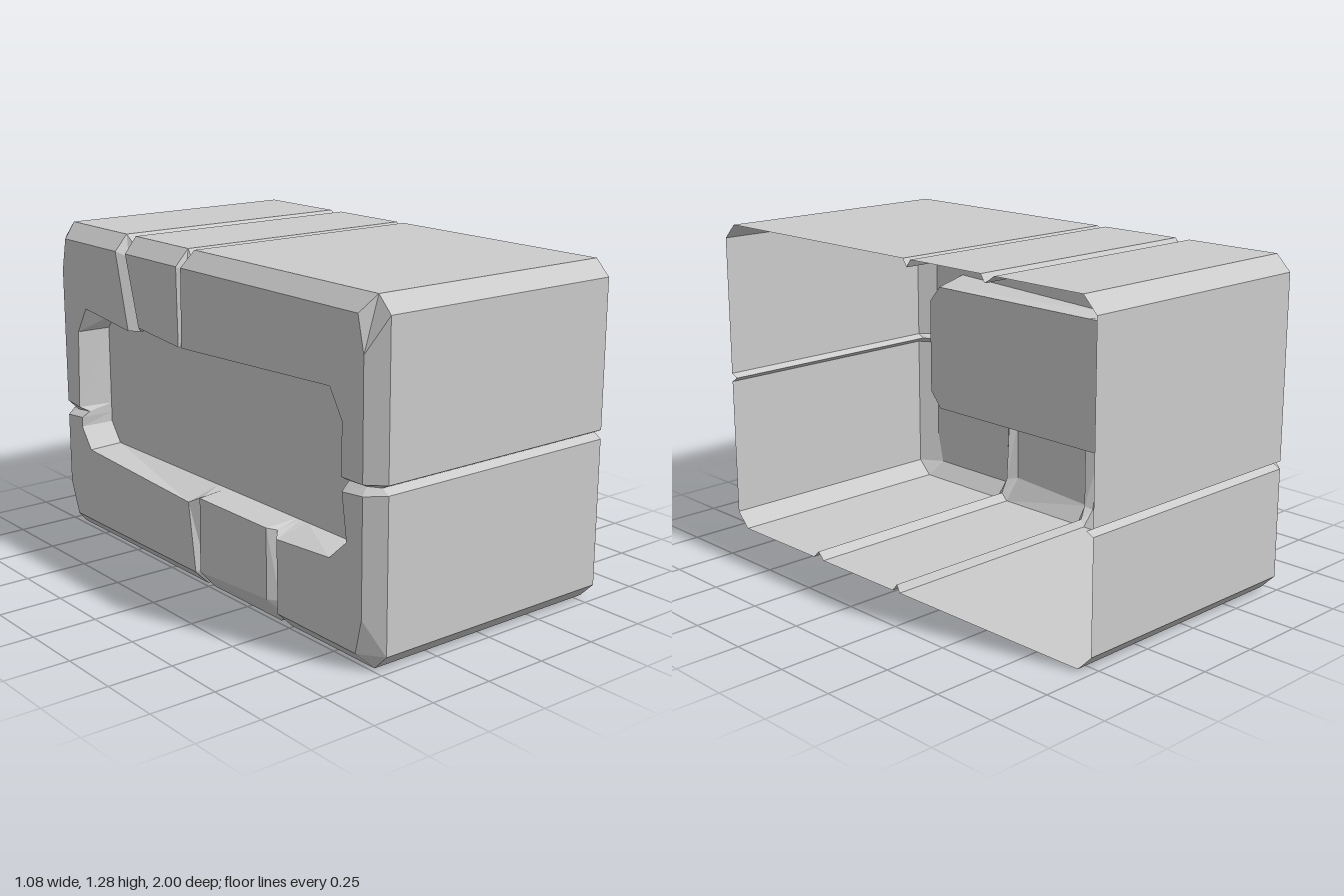
import * as THREE from 'three';

const OPEN_X = 0.54, FACE_X = -0.54, BEVEL_X = -0.48, PANEL_X = -0.4;
const PANEL = { z: 0.83, bottom: 0.37, top: 0.92 };

const material = new THREE.MeshStandardMaterial({
  color: 0xcccccc, flatShading: true, side: THREE.DoubleSide,
});

// One section through the shell, running from the open end over the bevel
// and across the face down to the recessed panel.
// Each pair is [z, y] on the outside, on the face rim and on the recess rim.
function section(outer, face, hole, faceX = FACE_X) {
  const foot = [
    THREE.MathUtils.clamp(hole[0], -PANEL.z, PANEL.z),
    THREE.MathUtils.clamp(hole[1], PANEL.bottom, PANEL.top),
  ];
  return [
    [OPEN_X, outer], [BEVEL_X, outer], [faceX, face], [faceX, hole], [PANEL_X, foot],
  ].map(([x, [z, y]]) => new THREE.Vector3(x, y, z));
}

// Bottom of a V groove between two blocks
const groove = (outer, face, hole) => section(outer, face, hole, FACE_X + 0.035);

// Skin neighbouring sections with quads
function loft(sections) {
  const pos = [];
  const add = (...points) => points.forEach((p) => pos.push(p.x, p.y, p.z));
  for (let j = 0; j < sections.length - 1; j++) {
    const p = sections[j], q = sections[j + 1];
    for (let i = 0; i < p.length - 1; i++) {
      add(p[i], q[i], p[i + 1]);
      add(q[i], q[i + 1], p[i + 1]);
    }
  }
  const geometry = new THREE.BufferGeometry();
  geometry.setAttribute('position', new THREE.Float32BufferAttribute(pos, 3));
  geometry.computeVertexNormals();
  return geometry;
}

export function createModel() {
  const group = new THREE.Group();
  group.name = 'stoneBlockShell';
  const add = (name, geometry) => {
    const mesh = new THREE.Mesh(geometry, material);
    mesh.name = name;
    group.add(mesh);
  };

  // Grooves, going from the front over the top and back round underneath
  const frontGroove = groove([0.97, 0.645], [0.92, 0.643], [0.83, 0.64]);
  const topGroove = groove([-0.1, 1.25], [-0.1, 1.2], [-0.1, 0.92]);
  const slantGroove = groove([-0.495, 1.25], [-0.49, 1.2], [-0.42, 0.92]);
  const backGroove = groove([-0.97, 0.5], [-0.92, 0.5], [-0.83, 0.51]);
  const underBackGroove = groove([-0.015, 0.03], [-0.01, 0.08], [-0.01, 0.36]);
  const underFrontGroove = groove([0.46, 0.03], [0.455, 0.09], [0.44, 0.355]);

  // Six chamfered blocks, each running from one groove to the next
  add('frontTopBlock', loft([
    frontGroove,
    section([1, 0.66], [0.94, 0.66], [0.83, 0.66]),
    section([1, 1.22], [0.94, 1.09], [0.835, 0.85]),
    section([0.94, 1.28], [0.91, 1.22], [0.77, 0.955]),
    section([-0.08, 1.28], [-0.085, 1.22], [-0.09, 0.92]),
    topGroove,
  ]));
  add('middleTopBlock', loft([
    topGroove,
    section([-0.12, 1.28], [-0.115, 1.22], [-0.11, 0.92]),
    section([-0.475, 1.28], [-0.46, 1.22], [-0.38, 0.945]),
    slantGroove,
  ]));
  add('backTopBlock', loft([
    slantGroove,
    section([-0.54, 1.28], [-0.53, 1.22], [-0.455, 0.92]),
    section([-0.94, 1.28], [-0.91, 1.22], [-0.77, 0.955]),
    section([-1, 1.22], [-0.94, 1.09], [-0.835, 0.85]),
    section([-1, 0.515], [-0.94, 0.54], [-0.85, 0.53]),
    backGroove,
  ]));
  add('backBottomBlock', loft([
    backGroove,
    section([-1, 0.485], [-0.94, 0.48], [-0.83, 0.49]),
    section([-1, 0.06], [-0.94, 0.19], [-0.835, 0.45]),
    section([-0.94, 0], [-0.89, 0.06], [-0.77, 0.365]),
    section([-0.03, 0], [-0.025, 0.06], [-0.065, 0.33]),
    underBackGroove,
  ]));
  add('middleBottomBlock', loft([
    underBackGroove,
    section([0.01, 0], [0.005, 0.07], [0.01, 0.365]),
    section([0.43, 0], [0.42, 0.095], [0.42, 0.365]),
    underFrontGroove,
  ]));
  add('frontBottomBlock', loft([
    underFrontGroove,
    section([0.49, 0], [0.485, 0.06], [0.48, 0.34]),
    section([0.94, 0], [0.91, 0.06], [0.77, 0.36]),
    section([1, 0.06], [0.94, 0.19], [0.86, 0.44]),
    section([1, 0.625], [0.94, 0.62], [0.835, 0.61]),
    frontGroove,
  ]));

  // Recessed panel with clipped corners
  const outline = [
    [0.83, 0.44], [0.83, 0.85], [0.77, 0.92], [-0.77, 0.92],
    [-0.83, 0.85], [-0.83, 0.45], [-0.77, 0.37], [0.77, 0.37],
  ].map(([z, y]) => new THREE.Vector2(z, y));
  const panel = new THREE.ShapeGeometry(new THREE.Shape(outline));
  panel.rotateY(-Math.PI / 2).translate(PANEL_X, 0, 0);
  add('recessedPanel', panel);

  return group;
}
